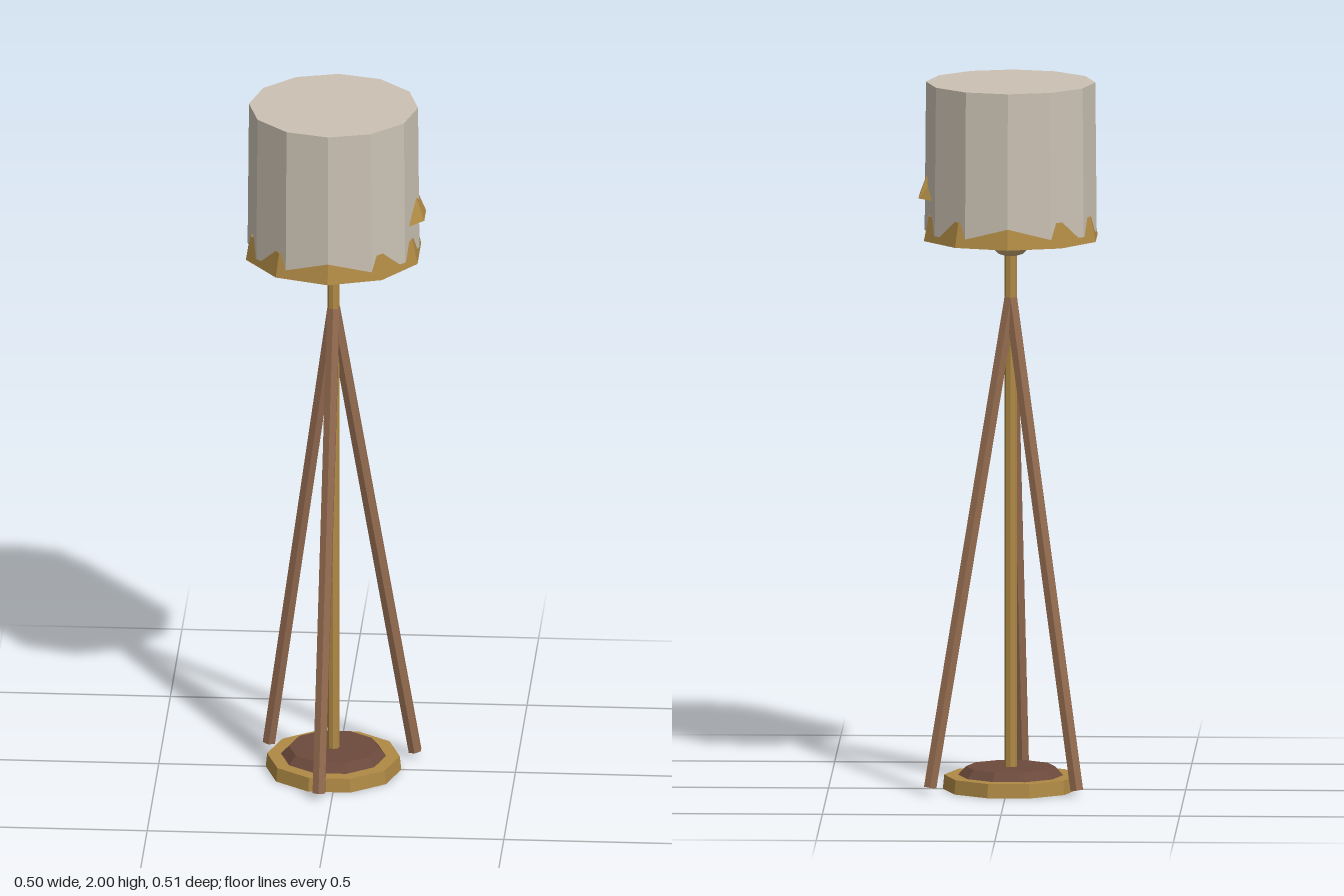
import * as THREE from 'three';

const mat = (name, color) => {
  const m = new THREE.MeshStandardMaterial({ color, flatShading: true });
  m.name = name;
  return m;
};

export function createModel() {
  const linen = mat('linen', 0xcbc2b4);
  const brass = mat('brass', 0xb08a45);
  const wood = mat('wood', 0x946c50);
  const darkWood = mat('dark wood', 0x6b4a3c);
  const glass = mat('warm glass', 0xc9a878);

  const lamp = new THREE.Group();
  lamp.name = 'floorLamp';
  const cx = -0.01; // the lamp axis sits slightly off centre

  const add = (name, geometry, material) => {
    const mesh = new THREE.Mesh(geometry, material);
    mesh.name = name;
    lamp.add(mesh);
    return mesh;
  };
  // Upright faceted drum between two heights
  const drum = (name, rTop, rBottom, y0, y1, sides, material, turn = 0) => {
    const mesh = add(name, new THREE.CylinderGeometry(rTop, rBottom, y1 - y0, sides), material);
    mesh.position.set(cx, (y0 + y1) / 2, 0);
    mesh.rotation.y = turn;
    return mesh;
  };

  // Base and pole
  drum('basePlate', 0.186, 0.19, 0, 0.04, 10, brass, Math.PI / 2);
  drum('baseCap', 0.125, 0.152, 0.035, 0.064, 10, darkWood, Math.PI / 2);
  drum('pole', 0.017, 0.017, 0.05, 1.54, 8, brass);

  // Three splayed legs meeting near the top of the pole
  const apex = new THREE.Vector3(cx, 1.39, 0);
  const up = new THREE.Vector3(0, 1, 0);
  for (const [x, z] of [[-0.2, -0.142], [0.212, -0.1], [-0.036, 0.23]]) {
    const foot = new THREE.Vector3(x, 0.018, z);
    const dir = apex.clone().sub(foot);
    const leg = add('leg', new THREE.CylinderGeometry(0.02, 0.02, dir.length(), 6), wood);
    leg.position.copy(foot).add(apex).multiplyScalar(0.5);
    leg.quaternion.setFromUnitVectors(up, dir.normalize());
  }

  // Bulb peeping out below the shade
  const bulb = add('bulb', new THREE.SphereGeometry(0.07, 8, 6), glass);
  bulb.position.set(cx, 1.575, 0);

  // Shade with its flared lower band
  drum('shade', 0.237, 0.241, 1.58, 2, 12, linen);
  drum('shadeBand', 0.238, 0.253, 1.56, 1.63, 10, brass);

  // Small wedge-shaped switch on the left side of the shade
  const corners = [
    [0.205, 1.675, 0.088], [0.247, 1.675, 0.04], [0.247, 1.675, -0.04], [0.205, 1.675, -0.088],
    [0.2, 1.735, 0.028], [0.225, 1.735, 0.025], [0.225, 1.735, -0.025], [0.2, 1.735, -0.028],
  ];
  const wedge = new THREE.BufferGeometry();
  wedge.setAttribute('position', new THREE.Float32BufferAttribute(corners.flat(), 3));
  wedge.setIndex([
    0, 3, 2, 0, 2, 1, // underside
    4, 5, 6, 4, 6, 7, // top
    1, 2, 6, 1, 6, 5, // outer face
    0, 1, 5, 0, 5, 4, // ends
    2, 3, 7, 2, 7, 6,
    3, 0, 4, 3, 4, 7, // inner face
  ]);
  const flatWedge = wedge.toNonIndexed();
  flatWedge.computeVertexNormals();
  add('switch', flatWedge, brass);

  return lamp;
}
